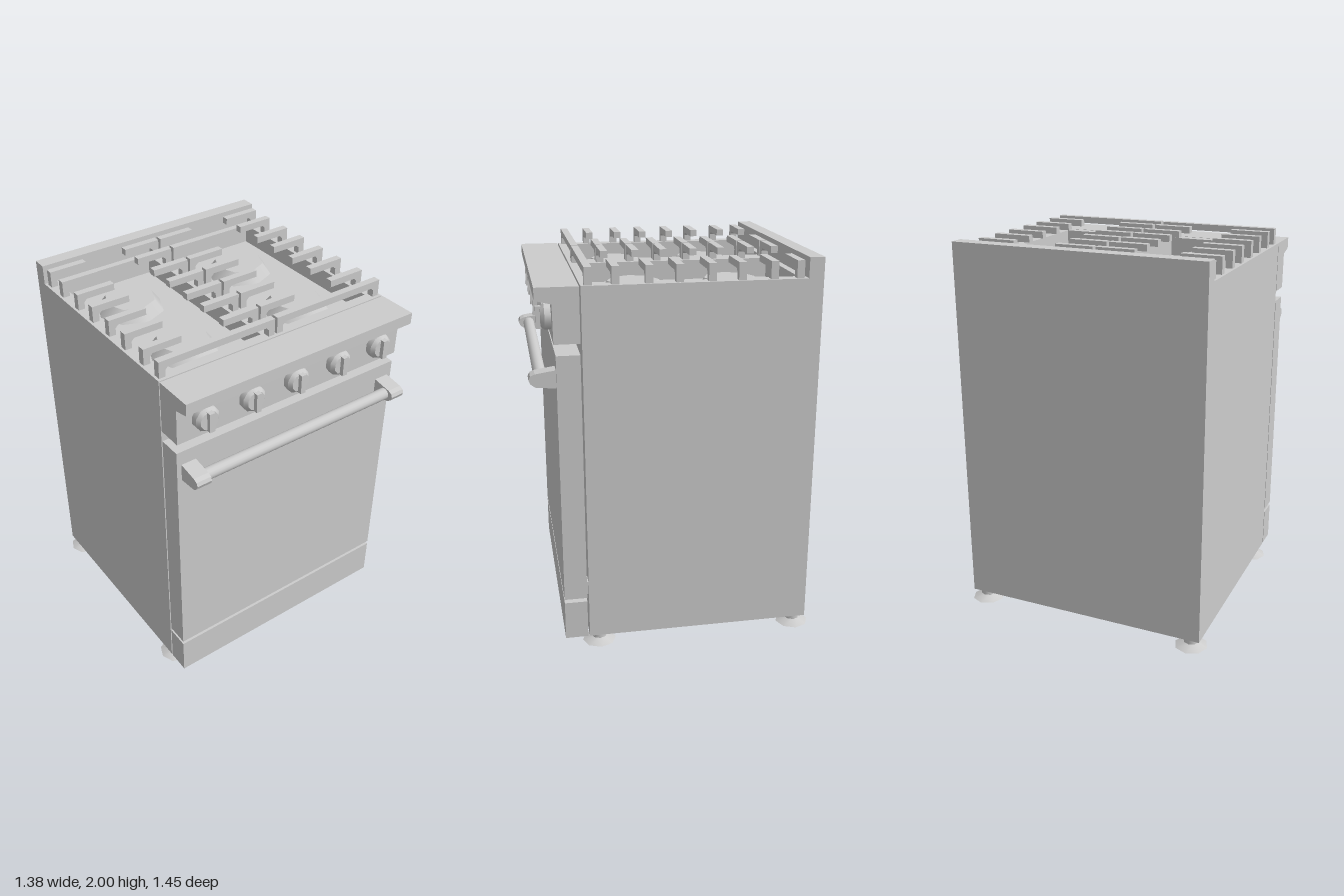
import * as THREE from 'three';

export function createModel() {
  const root = new THREE.Group();
  root.name = 'cookingRange';
  const steel = new THREE.MeshStandardMaterial({ color: 0xcccccc });
  steel.name = 'steel';

  const add = (name, geometry, x = 0, y = 0, z = 0, parent = root) => {
    const mesh = new THREE.Mesh(geometry, steel);
    mesh.name = name;
    mesh.position.set(x, y, z);
    parent.add(mesh);
    return mesh;
  };
  // Box given by its limits on each axis
  const box = (name, x0, x1, y0, y1, z0, z1, parent) =>
    add(name, new THREE.BoxGeometry(x1 - x0, y1 - y0, z1 - z0),
      (x0 + x1) / 2, (y0 + y1) / 2, (z0 + z1) / 2, parent);
  const shapeOf = pts => new THREE.Shape(pts.map(p => new THREE.Vector2(...p)));
  const extrude = (shape, depth) =>
    new THREE.ExtrudeGeometry(shape, { depth, bevelEnabled: false });
  // Side profile of [z, y] points, extruded across x and centred on it
  const acrossX = (pts, width) =>
    extrude(shapeOf(pts.map(([z, y]) => [-z, y])), width)
      .translate(0, 0, -width / 2).rotateY(Math.PI / 2);

  const W = 0.665;

  // Body and the deck with two sunken burner wells
  box('body', -W, W, 0.06, 1.8, -0.69, 0.475);
  const deck = shapeOf([[-W, -0.475], [W, -0.475], [W, 0.69], [-W, 0.69]]);
  for (const [a, b] of [[-0.6, -0.06], [0.06, 0.6]]) {
    deck.holes.push(new THREE.Path([[a, -0.42], [a, 0.58], [b, 0.58], [b, -0.42]]
      .map(p => new THREE.Vector2(...p))));
  }
  add('deck', extrude(deck, 0.1).rotateX(-Math.PI / 2), 0, 1.8, 0);
  box('backGuard', -W, W, 1.9, 2.0, -0.69, -0.615);

  // Front panels, separated by narrow gaps
  add('controlPanel', acrossX([[0.482, 1.63], [0.608, 1.63], [0.61, 1.82],
    [0.69, 1.84], [0.69, 1.9], [0.482, 1.9]], 2 * W));
  box('ovenDoor', -W, W, 0.285, 1.575, 0.484, 0.6);
  box('drawer', -W, W, 0.06, 0.265, 0.484, 0.6);
  for (const s of [-1, 1]) {
    box('doorHinge', s * 0.62 - 0.03, s * 0.62 + 0.03, 0.3, 0.37, 0.47, 0.49);
  }

  // Door handle
  add('handleBar', new THREE.CylinderGeometry(0.031, 0.031, 1.16, 16).rotateZ(Math.PI / 2),
    0, 1.453, 0.672);
  for (const s of [-1, 1]) {
    add('handleBracket', acrossX([[0.6, 1.41], [0.7, 1.42], [0.722, 1.437], [0.73, 1.457],
      [0.722, 1.475], [0.7, 1.485], [0.6, 1.5]], 0.08), s * 0.6, 0, 0);
  }

  // Control knobs
  for (let i = -2; i <= 2; i++) {
    const knob = new THREE.Group();
    knob.name = 'knob';
    knob.position.set(i * 0.26, 1.735, 0.605);
    root.add(knob);
    const turned = (name, front, back, depth, z) => add(name,
      new THREE.CylinderGeometry(front, back, depth, 10).rotateX(Math.PI / 2),
      0, 0, z + depth / 2, knob);
    turned('knobSkirt', 0.065, 0.065, 0.035, 0);
    turned('knobCap', 0.049, 0.065, 0.018, 0.035);
    box('knobGrip', -0.014, 0.014, -0.05, 0.05, 0.04, 0.075, knob);
  }

  // Burners
  for (const x of [-0.345, 0.345]) {
    for (const z of [-0.305, 0.185]) {
      add('burner', new THREE.CylinderGeometry(0.13, 0.175, 0.06, 8), x, 1.83, z);
    }
  }

  // Grate fingers: a foot with an arm reaching over the burner
  const finger = extrude(shapeOf([[0, 0], [0.035, 0], [0.035, 0.035], [0.05, 0.05],
    [0.205, 0.05], [0.205, 0.085], [0, 0.085]]), 0.037).translate(0, 0, -0.0185);
  // Full-width front bar with a foot at each end
  const bridge = extrude(shapeOf([[0, 0], [0.035, 0], [0.035, 0.035], [0.05, 0.05],
    [0.595, 0.05], [0.61, 0.035], [0.61, 0], [0.645, 0], [0.645, 0.085], [0, 0.085]]),
    0.037).translate(0, 0, -0.0185);
  for (const x of [-0.652, 0.007]) {
    add('grateFrontBar', bridge, x, 1.9, 0.44);
    for (const z of [-0.578, -0.45, -0.293, -0.148, 0.008, 0.153, 0.312]) {
      add('grateFinger', finger, x, 1.9, z);
      add('grateFinger', finger, x + 0.645, 1.9, z).rotation.y = Math.PI;
    }
  }

  // Levelling feet
  for (const x of [-0.605, 0.605]) {
    for (const z of [0.42, -0.637]) {
      add('footStem', new THREE.CylinderGeometry(0.04, 0.04, 0.04, 8), x, 0.045, z);
      add('footPad', new THREE.CylinderGeometry(0.04, 0.087, 0.024, 8), x, 0.016, z);
      add('footBase', new THREE.CylinderGeometry(0.087, 0.08, 0.004, 8), x, 0.002, z);
    }
  }
  return root;
}
